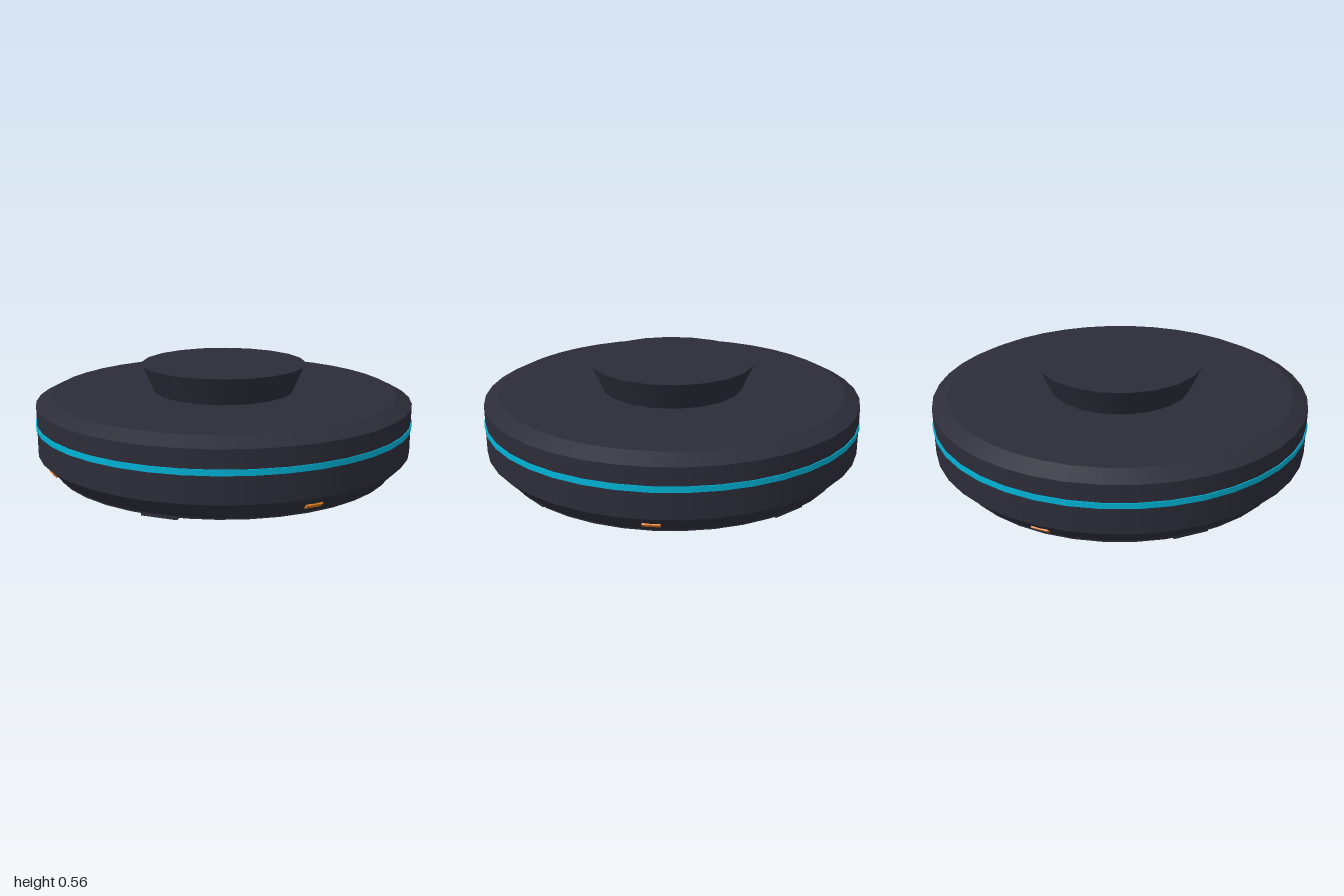
import * as THREE from 'three';

const mat = (name, color, side = THREE.FrontSide) => {
  const m = new THREE.MeshStandardMaterial({ color, side });
  m.name = name;
  return m;
};

export function createModel() {
  const group = new THREE.Group();
  const shell = mat('dark slate', 0x2d2d3a, THREE.DoubleSide);
  const cyan = mat('cyan', 0x00b4d8);
  const orange = mat('orange', 0xe67e22);
  const magenta = mat('magenta', 0xb3249c);
  const tan = mat('tan', 0xb59a87);

  const add = (name, geometry, material, parent = group) => {
    const mesh = new THREE.Mesh(geometry, material);
    mesh.name = name;
    parent.add(mesh);
    return mesh;
  };

  // Round section between two heights, smooth around and sharp at its ends
  const section = (name, r0, y0, r1, y1, material, sides = 40, open = true) => {
    const mesh = add(name, new THREE.CylinderGeometry(r1, r0, y1 - y0, sides, 1, open), material);
    mesh.position.y = (y0 + y1) / 2;
    return mesh;
  };

  // Flat ring or disc facing up (1) or down (-1)
  const flat = (name, inner, outer, y, facing, material) => {
    const geometry = inner > 0
      ? new THREE.RingGeometry(inner, outer, 40)
      : new THREE.CircleGeometry(outer, 40);
    const mesh = add(name, geometry.rotateX(-facing * Math.PI / 2), material);
    mesh.position.y = y;
  };

  // Main disc
  section('lowerBevel', 0.905, 0.025, 0.995, 0.12, shell);
  section('bodyWall', 0.995, 0.12, 0.995, 0.375, shell);
  section('upperBevel', 0.995, 0.375, 0.915, 0.415, shell);
  flat('topFace', 0, 0.915, 0.415, 1, shell);
  section('glowBand', 1, 0.255, 1, 0.284, cyan, 40, false);

  // Flared neck on top
  section('neck', 0.375, 0.415, 0.44, 0.56, shell, 20, false);

  // Underside with a shallow recess and a pad
  section('baseEdge', 0.905, 0.018, 0.905, 0.025, shell);
  flat('baseRing', 0.74, 0.905, 0.018, -1, shell);
  section('recessWall', 0.74, 0.018, 0.68, 0.038, shell);
  flat('basePad', 0, 0.68, 0.038, -1, tan);

  for (let i = 0; i < 4; i++) {
    const quarter = new THREE.Group();
    quarter.name = 'quarter' + (i + 1);
    quarter.rotation.y = i * Math.PI / 2;
    group.add(quarter);

    // Foot
    add('foot', new THREE.BoxGeometry(0.18, 0.028, 0.13), shell, quarter).position.set(0, 0.014, 0.82);

    // Glowing arc under the base
    const arc = new THREE.TorusGeometry(0.86, 0.008, 6, 24, Math.PI * 0.4);
    const glow = add('undersideArc', arc.rotateZ(Math.PI * 0.08).rotateX(Math.PI / 2), magenta, quarter);
    glow.position.y = 0.016;

    // Marker light lying on the lower bevel
    const arm = new THREE.Group();
    arm.name = 'markerArm';
    arm.rotation.y = Math.PI / 4;
    quarter.add(arm);
    const light = add('markerLight', new THREE.BoxGeometry(0.085, 0.028, 0.009), orange, arm);
    light.position.set(0, 0.07, 0.949);
    light.rotation.x = Math.PI / 4;
  }
  return group;
}
